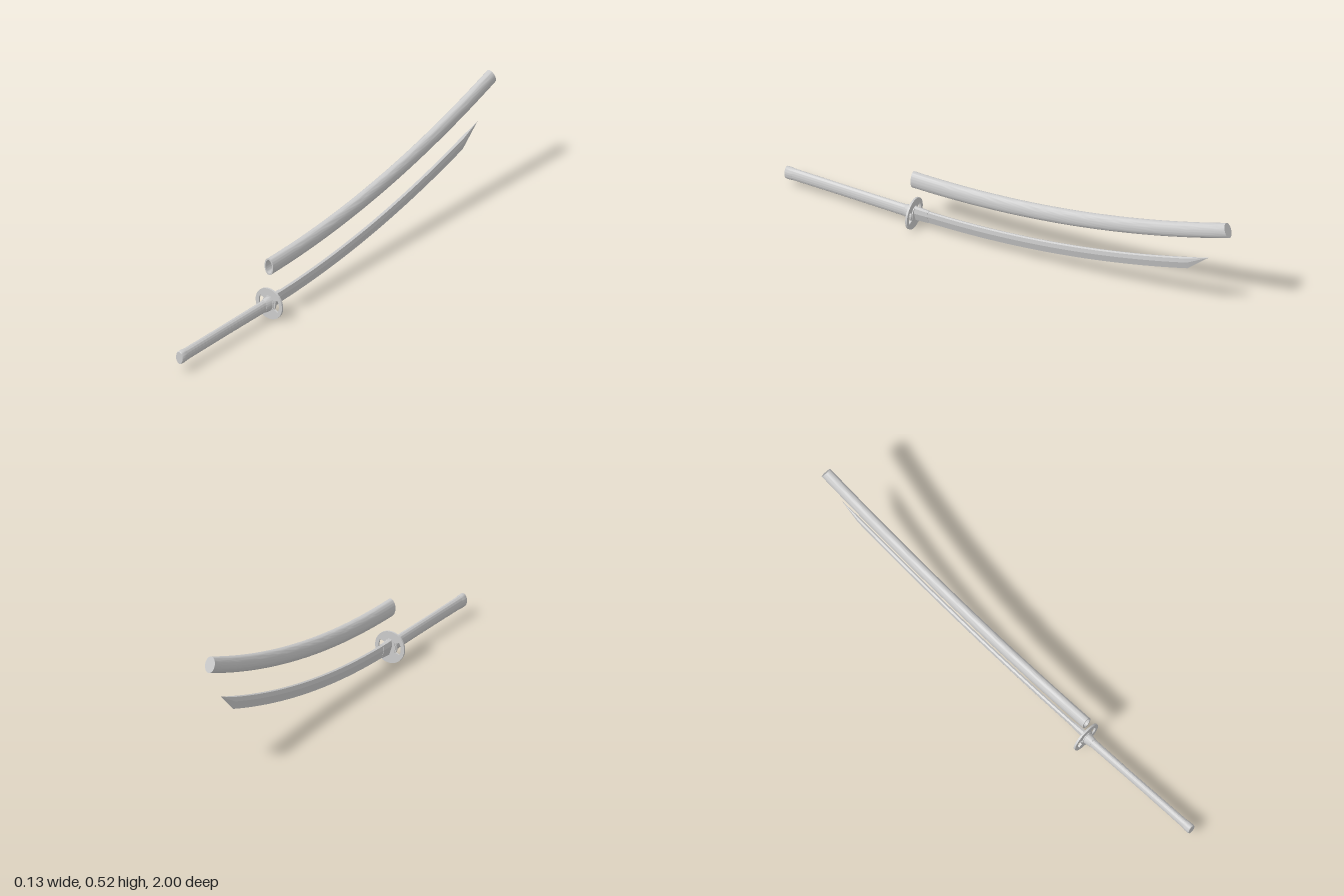
import * as THREE from 'three';
import { toCreasedNormals } from 'three/addons/utils/BufferGeometryUtils.js';

const AXIS_Y = 0.069; // height of the handle axis
const GUARD_Z = 0.426;
const BEND = 0.124; // parabola shared by blade and scabbard

const rise = (z) => BEND * Math.max(0, 0.43 - z) ** 2;

// Skin a chain of equal-length rings (counter-clockwise seen from +z, running toward -z), with end caps
function loft(rings, crease = 0.6) {
  const n = rings[0].length;
  const pos = rings.flat(2);
  const idx = [];
  for (let i = 0; i < rings.length - 1; i++) {
    for (let j = 0; j < n; j++) {
      const k = (j + 1) % n;
      const a = i * n + j, b = i * n + k, c = a + n, d = b + n;
      idx.push(a, c, b, b, c, d);
    }
  }
  [0, rings.length - 1].forEach((r, end) => {
    const centre = pos.length / 3;
    for (let c = 0; c < 3; c++) pos.push(rings[r].reduce((s, p) => s + p[c], 0) / n);
    for (let j = 0; j < n; j++) {
      const a = r * n + j, b = r * n + (j + 1) % n;
      idx.push(centre, ...(end ? [b, a] : [a, b]));
    }
  });
  const g = new THREE.BufferGeometry();
  g.setAttribute('position', new THREE.Float32BufferAttribute(pos, 3));
  g.setIndex(idx);
  return toCreasedNormals(g, crease);
}

// Oval ring; slope leans it square to a rising path
function oval(y, z, rx, ry, slope = 0, n = 40, relief = () => 0) {
  const len = Math.hypot(1, slope);
  return Array.from({ length: n }, (_, j) => {
    const t = (j / n) * Math.PI * 2;
    const r = relief(t);
    const v = Math.sin(t) * (ry + r);
    return [Math.cos(t) * (rx + r), y + v / len, z + (v * slope) / len];
  });
}

const steps = (from, to, n) => Array.from({ length: n + 1 }, (_, i) => from + ((to - from) * i) / n);

// Straight oval part on the handle axis from [z, rx, ry] stations
const ovalPart = (stations) => loft(stations.map(([z, rx, ry]) => oval(AXIS_Y, z, rx, ry)));

// Blade cross-section: peaked spine, side ridge, sharp edge below
function bladeRing(z, top, bottom, thick) {
  const profile = [[0, 1], [-0.0068, 0.94], [-0.0085, 0.6], [0, 0], [0.0085, 0.6], [0.0068, 0.94]];
  return profile.map(([x, v]) => [x * thick, bottom + (top - bottom) * v, z]);
}

function bladeGeometry() {
  const edgeEnd = -0.805, tip = -0.9;
  const rings = steps(GUARD_Z, edgeEnd, 32).map((z) => bladeRing(z, 0.098 + rise(z), 0.042 + rise(z), 1));
  // angled point
  const low = 0.042 + rise(edgeEnd), tipY = 0.098 + rise(tip);
  for (const t of steps(0, 1, 6).slice(1)) {
    const z = edgeEnd + (tip - edgeEnd) * t;
    const top = 0.098 + rise(z);
    rings.push(bladeRing(z, top, Math.min(top - 0.0003, low + (tipY - low) * t), Math.max(0.02, 1 - t)));
  }
  return loft(rings, 0.25);
}

// Hollow sheath: inner wall out to the mouth, then outer wall back to the closed end
function scabbardGeometry() {
  const ring = (z, rx, ry) => oval(0.235 + rise(z), z, rx, ry, 2 * BEND * (0.43 - z));
  const outer = steps(0.43, -0.987, 40).map((z) => {
    const t = (0.43 - z) / 1.417;
    return ring(z, 0.022, 0.0375 - 0.004 * t);
  });
  const inner = steps(-0.96, 0.43, 40).map((z) => ring(z, 0.0165, 0.03));
  return loft([...inner, ...outer]);
}

// Round guard with two curved windows
function guardGeometry() {
  const depth = 0.008;
  const shape = new THREE.Shape().absarc(0, 0, 0.067, 0, Math.PI * 2);
  for (const mid of [0, Math.PI]) {
    const hole = new THREE.Path();
    hole.absarc(0, 0, 0.051, mid - 0.55, mid + 0.55, false);
    hole.absarc(0, 0, 0.032, mid + 0.65, mid - 0.65, true);
    hole.closePath();
    shape.holes.push(hole);
  }
  const g = new THREE.ExtrudeGeometry(shape, { depth, bevelEnabled: false, curveSegments: 32 });
  g.translate(0, 0.067, GUARD_Z - depth / 2);
  return toCreasedNormals(g, 0.6);
}

// Grip with a fine crossed-wrap relief
function gripGeometry() {
  const rings = steps(0.975, 0.45, 110).map((z) => {
    const relief = (t) => 0.0005 * Math.sin(t * 6 + z * 150) * Math.sin(t * 6 - z * 150);
    const waist = 0.0015 * Math.sin(((z - 0.45) / 0.525) * Math.PI);
    return oval(AXIS_Y, z, 0.0165 - waist, 0.0275 - waist * 0.5, 0, 48, relief);
  });
  return loft(rings);
}

export function createModel() {
  const root = new THREE.Group();
  root.name = 'swordAndScabbard';
  const material = new THREE.MeshStandardMaterial({ color: 0xcccccc });
  const add = (name, geometry, parent) => {
    const mesh = new THREE.Mesh(geometry, material);
    mesh.name = name;
    parent.add(mesh);
  };

  const sword = new THREE.Group();
  sword.name = 'sword';
  root.add(sword);

  add('blade', bladeGeometry(), sword);
  // sleeve gripping the base of the blade
  add('bladeCollar', loft([
    bladeRing(GUARD_Z, 0.103, 0.036, 1.6),
    bladeRing(0.36, 0.1 + rise(0.36), 0.04 + rise(0.36), 1.25),
  ], 0.25), sword);
  add('guard', guardGeometry(), sword);
  // thin washers either side of the guard
  for (const side of [-1, 1]) {
    const z = GUARD_Z + side * 0.0055;
    add(side > 0 ? 'frontWasher' : 'backWasher',
      ovalPart([[z + 0.002, 0.0265, 0.034], [z - 0.002, 0.0265, 0.034]]), sword);
  }
  add('handleCollar', ovalPart([[0.464, 0.017, 0.0285], [0.458, 0.019, 0.03], [0.432, 0.0225, 0.032]]), sword);
  add('grip', gripGeometry(), sword);
  add('pommel', ovalPart([
    [1, 0.0165, 0.0265], [0.997, 0.0185, 0.0285], [0.978, 0.019, 0.029], [0.965, 0.0165, 0.028],
  ]), sword);

  add('scabbard', scabbardGeometry(), root);
  return root;
}
